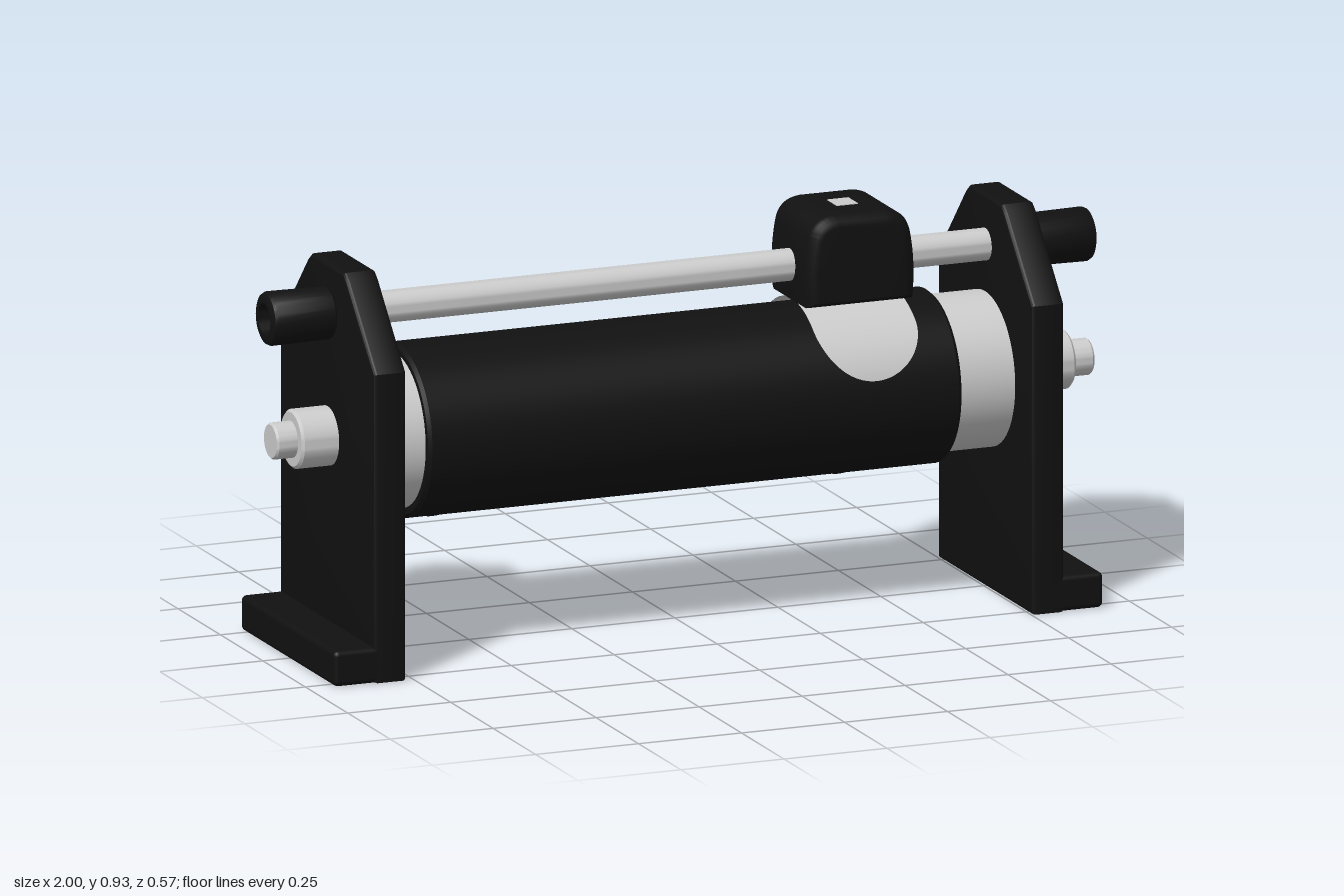
import * as THREE from 'three';
import { RoundedBoxGeometry } from 'three/addons/geometries/RoundedBoxGeometry.js';
import { toCreasedNormals } from 'three/addons/utils/BufferGeometryUtils.js';

const grey = new THREE.MeshStandardMaterial({ color: 0xcccccc });
const thin = new THREE.MeshStandardMaterial({ color: 0xcccccc, side: THREE.DoubleSide });
const black = new THREE.MeshStandardMaterial({ color: 0x111111 });
const AXIS_Y = 0.507, ROD_Y = 0.795, Z0 = 0.005;

export function createModel() {
  const model = new THREE.Group();
  const add = (name, geometry, material, x = 0, y = 0, z = 0, parent = model) => {
    const mesh = new THREE.Mesh(geometry, material);
    mesh.name = name;
    mesh.position.set(x, y, z);
    parent.add(mesh);
    return mesh;
  };
  // turned part along x from [x, radius] pairs (x ascending)
  const turned = (pairs, segments = 48) => {
    const g = new THREE.LatheGeometry(pairs.map(([x, r]) => new THREE.Vector2(r, x)), segments);
    return toCreasedNormals(g.rotateZ(-Math.PI / 2), 0.6);
  };
  // bevelled extrusion, centred on its depth
  const slab = (shape, depth, bevel) => {
    const g = new THREE.ExtrudeGeometry(shape, {
      depth: depth - 2 * bevel, bevelThickness: bevel, bevelSize: bevel,
      bevelOffset: -bevel, bevelSegments: 3, curveSegments: 16,
    });
    return toCreasedNormals(g.translate(0, 0, bevel - depth / 2), 0.6);
  };

  // ceramic tube, winding and central shaft
  add('coreTube', turned([[-0.775, 0], [-0.775, 0.178], [0.755, 0.178], [0.755, 0]], 64), grey, 0, AXIS_Y, Z0);
  add('winding', turned([
    [-0.68, 0.17], [-0.68, 0.192], [-0.672, 0.199], [0.607, 0.199], [0.615, 0.192], [0.615, 0.17],
  ], 64), black, 0, 0.505, Z0);
  add('shaft', turned([
    [-0.985, 0], [-0.985, 0.038], [-0.98, 0.042], [-0.935, 0.042], [-0.935, 0.062], [-0.929, 0.068],
    [0.939, 0.068], [0.945, 0.062], [0.945, 0.042], [0.995, 0.042], [1, 0.038], [1, 0],
  ]), grey, 0, 0.51, Z0 + 0.003);

  // guide rod
  add('guideRod', turned([[-0.87, 0], [-0.87, 0.037], [0.87, 0.037], [0.87, 0]], 32), grey, 0, ROD_Y, Z0 + 0.003);

  // end plates with feet, and hollow knobs on the rod ends
  const plateShape = new THREE.Shape([
    [-0.278, 0], [0.278, 0], [0.278, 0.715], [0.115, 0.893], [0.095, 0.908],
    [-0.095, 0.908], [-0.115, 0.893], [-0.278, 0.715],
  ].map(([z, y]) => new THREE.Vector2(z, y)));
  const plateGeometry = slab(plateShape, 0.078, 0.008).rotateY(-Math.PI / 2);
  const knobGeometry = turned([
    [0, 0.036], [0, 0.05], [0.012, 0.06], [0.15, 0.062], [0.158, 0.058],
    [0.162, 0.05], [0.162, 0.036], [0.025, 0.036], [0.025, 0.034],
  ], 32);
  for (const side of [-1, 1]) {
    const end = new THREE.Group();
    end.name = side > 0 ? 'leftEnd' : 'rightEnd';
    model.add(end);
    const x = side > 0 ? 0.79 : -0.807;
    add('endPlate', plateGeometry, black, x, 0, Z0 - 0.001, end);
    add('foot', new RoundedBoxGeometry(0.16, 0.082, 0.556, 3, 0.012), black,
      x + side * 0.055, 0.041, Z0 - 0.001, end);
    const knob = add('rodKnob', knobGeometry, black, side * 0.838, ROD_Y, Z0 + 0.003, end);
    if (side < 0) knob.rotation.y = Math.PI;
  }

  // slider: rounded cap over the rod
  const slider = new THREE.Group();
  slider.name = 'slider';
  slider.position.set(0.405, 0, Z0);
  model.add(slider);
  const cap = new THREE.Shape();
  cap.moveTo(-0.128, 0.715);
  cap.lineTo(0.128, 0.715);
  cap.quadraticCurveTo(0.137, 0.80, 0.122, 0.875);
  cap.quadraticCurveTo(0.112, 0.922, 0.06, 0.926);
  cap.lineTo(-0.06, 0.926);
  cap.quadraticCurveTo(-0.112, 0.922, -0.122, 0.875);
  cap.quadraticCurveTo(-0.137, 0.80, -0.128, 0.715);
  add('sliderCap', slab(cap, 0.24, 0.025), black, 0, 0, 0, slider);
  add('capWindow', new THREE.BoxGeometry(0.052, 0.02, 0.058), grey, 0, 0.9175, 0, slider);

  // contact leaf wrapped over the winding, with rounded tips
  const leaf = new THREE.PlaneGeometry(2, 2, 16, 64);
  const p = leaf.attributes.position;
  const maxAngle = THREE.MathUtils.degToRad(75);
  for (let i = 0; i < p.count; i++) {
    const t = Math.sin(p.getY(i) * Math.PI / 2);
    const taper = Math.max(0, (Math.abs(t) - 0.5) / 0.5);
    const halfWidth = 0.124 * Math.sqrt(Math.max(0, 1 - taper * taper));
    const a = -t * maxAngle;
    p.setXYZ(i, p.getX(i) * halfWidth, 0.505 + 0.21 * Math.cos(a), 0.21 * Math.sin(a));
  }
  leaf.computeVertexNormals();
  add('contactLeaf', leaf, thin, 0, 0, 0, slider);

  // terminal lugs sloping down behind the winding, each with a screw
  const lugShape = new THREE.Shape();
  lugShape.moveTo(-0.15, -0.19);
  lugShape.lineTo(0.15, -0.19);
  lugShape.lineTo(0.145, -0.11);
  lugShape.quadraticCurveTo(0.115, -0.03, 0.05, 0.055);
  lugShape.quadraticCurveTo(0, 0.1, -0.05, 0.055);
  lugShape.quadraticCurveTo(-0.115, -0.03, -0.145, -0.11);
  lugShape.closePath();
  const lugGeometry = slab(lugShape, 0.01, 0.001).rotateX(-Math.PI / 2);
  const screwProfile = [[-0.02, 0], [-0.02, 0.016], [0.01, 0.016], [0.01, 0.034], [0.02, 0.04],
    [0.068, 0.04], [0.08, 0.03], [0.084, 0]];
  const screwGeometry = turned(screwProfile, 24).rotateZ(Math.PI / 2);
  for (const x of [-0.5, 0.485]) {
    const terminal = new THREE.Group();
    terminal.name = 'terminal';
    terminal.position.set(x, 0.257, -0.215);
    terminal.rotation.x = -0.4;
    model.add(terminal);
    add('terminalLug', lugGeometry, grey, 0, 0, 0, terminal);
    add('terminalScrew', screwGeometry, black, 0, 0, 0, terminal);
  }
  return model;
}
